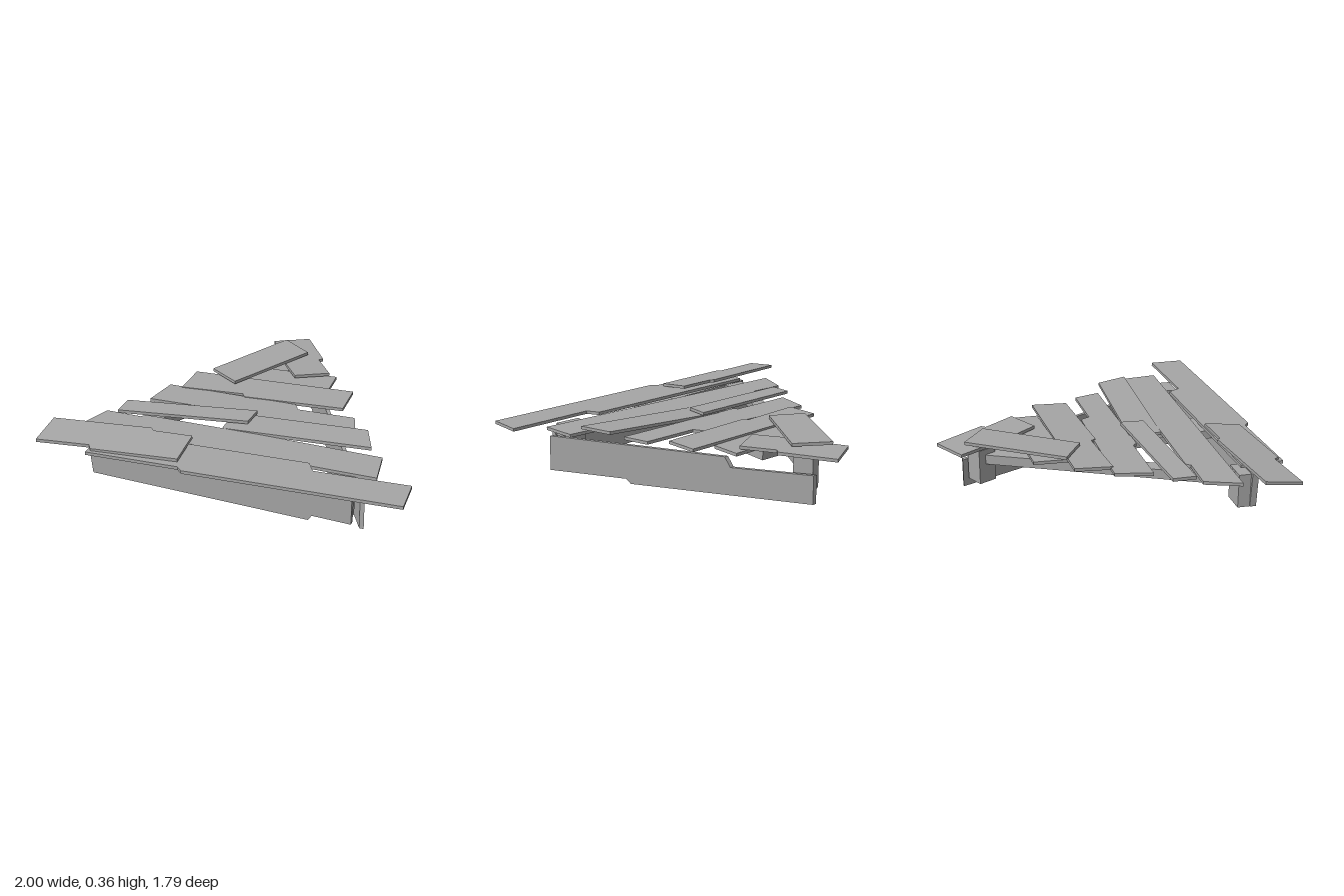
import * as THREE from 'three';

export function createModel() {
  const group = new THREE.Group();
  const grey = new THREE.MeshStandardMaterial({ color: 0xa6a6a6 });
  grey.name = 'weathered grey wood';

  const add = (name, geometry) => {
    const mesh = new THREE.Mesh(geometry, grey);
    mesh.name = name;
    group.add(mesh);
    return mesh;
  };

  const extrude = (points, depth) => new THREE.ExtrudeGeometry(
    new THREE.Shape(points.map(([x, y]) => new THREE.Vector2(x, y))),
    { depth, bevelEnabled: false });

  // Flat plank from an (x, z) outline; its underside is y0 + sx * x + sz * z
  const plank = (name, outline, y0, sx = 0, sz = 0, thickness = 0.018) => {
    const geo = extrude(outline.map(([x, z]) => [x, -z]), thickness);
    geo.rotateX(-Math.PI / 2);
    const p = geo.attributes.position;
    for (let i = 0; i < p.count; i++) {
      p.setY(i, p.getY(i) + y0 + sx * p.getX(i) + sz * p.getZ(i));
    }
    geo.computeVertexNormals();
    add(name, geo);
  };

  // Straight timber between two points
  const timber = (name, a, b, width, height) => {
    const from = new THREE.Vector3(...a), to = new THREE.Vector3(...b);
    const mesh = add(name, new THREE.BoxGeometry(width, height, from.distanceTo(to)));
    mesh.position.lerpVectors(from, to, 0.5);
    mesh.lookAt(to);
  };

  const post = (name, [x, y, z], [w, h, d], turn = 0) => {
    const mesh = add(name, new THREE.BoxGeometry(w, h, d));
    mesh.position.set(x, y, z);
    mesh.rotation.y = turn;
  };

  // Upright board across the front, with a broken lower edge
  const front = extrude([
    [-0.75, 0.095], [0.48, 0.045], [0.5, 0.075], [0.71, 0.065],
    [0.71, 0.245], [-0.765, 0.29],
  ], 0.035);
  front.translate(0, 0, 0.678);
  add('frontBoard', front);

  // Upright board along the slanting side, drawn in (z, y) and sheared into place
  const side = extrude([
    [0.665, 0.02], [0.225, 0.03], [0.2, 0.003], [-0.76, 0.03],
    [-0.76, 0.195], [-0.34, 0.18], [-0.31, 0.238], [0.655, 0.23],
  ], 0.024);
  side.applyMatrix4(new THREE.Matrix4().makeBasis(
    new THREE.Vector3(0.515, 0, 1), new THREE.Vector3(0, 1, 0), new THREE.Vector3(-1, 0, 0)));
  side.translate(0.425, 0, 0);
  add('sideBoard', side);

  // Rails under the deck
  timber('slantingRail', [-0.7, 0.255, 0.6], [-0.035, 0.22, -0.62], 0.085, 0.055);
  timber('centreBeam', [-0.03, 0.27, 0.765], [-0.03, 0.225, -0.41], 0.21, 0.05);

  // Corner posts
  post('frontLeftPost', [0.625, 0.18, 0.645], [0.15, 0.22, 0.07]);
  post('frontRightPost', [-0.675, 0.19, 0.645], [0.14, 0.19, 0.07]);
  post('backPost', [-0.015, 0.18, -0.655], [0.11, 0.2, 0.11], 0.48);

  // Deck planks, front to back
  plank('frontPlank', [
    [-0.7, 0.875], [-0.18, 0.86], [-0.15, 0.89], [1, 0.855], [1, 0.655],
    [0.49, 0.675], [0.45, 0.605], [-0.7, 0.635],
  ], 0.305);
  plank('frontOverlapPlank', [
    [-1, 0.65], [-0.44, 0.595], [-0.42, 0.615], [-0.2, 0.605],
    [-0.2, 0.815], [-0.68, 0.855], [-0.7, 0.825], [-1, 0.855],
  ], 0.422, 0, -0.122);
  plank('secondPlank', [
    [-0.81, 0.385], [-0.6, 0.39], [-0.58, 0.365], [0.1, 0.375],
    [0.79, 0.4], [0.81, 0.61], [-0.88, 0.58],
  ], 0.287);
  plank('thirdPlank', [[-0.12, 0.18], [0.66, 0.2], [0.725, 0.385], [-0.12, 0.37]],
    0.292, 0.048);
  plank('thirdOverlapPlank', [[-0.75, 0.24], [0.015, 0.165], [0.005, 0.3], [-0.75, 0.37]],
    0.315, 0.03);
  plank('fourthPlank', [
    [-0.6, -0.035], [0.18, -0.03], [0.21, 0.025], [0.54, 0.02],
    [0.585, 0.175], [-0.24, 0.19], [-0.26, 0.165], [-0.64, 0.17],
  ], 0.285);
  plank('fifthPlank', [
    [-0.51, -0.23], [0.455, -0.27], [0.45, -0.06], [-0.13, -0.02],
    [-0.15, -0.05], [-0.52, -0.02],
  ], 0.288, 0, -0.03);
  plank('sixthPlank', [[-0.35, -0.42], [0.305, -0.45], [0.305, -0.27], [-0.36, -0.23]], 0.284);
  plank('backPlank', [
    [-0.2, -0.79], [0, -0.9], [0.17, -0.625], [0.15, -0.6],
    [0.265, -0.43], [0.08, -0.33], [-0.02, -0.47],
  ], 0.325, 0, 0.03);
  plank('backOverlapPlank', [[-0.11, -0.76], [0.07, -0.63], [-0.23, -0.135], [-0.41, -0.25]],
    0.314, 0, -0.03);

  return group;
}
